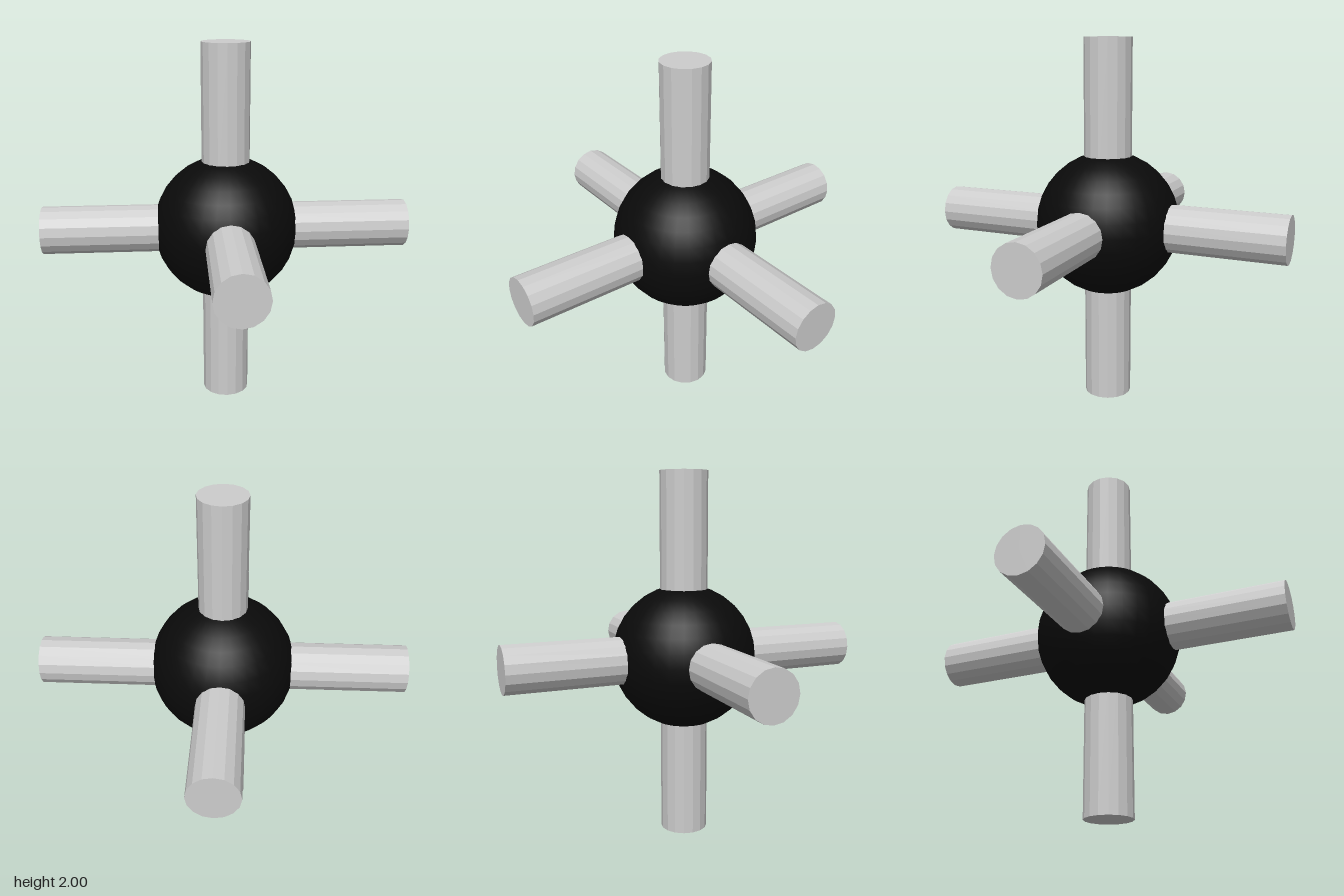
import * as THREE from 'three';

export function createModel() {
  const rodGrey = new THREE.MeshStandardMaterial({ color: 0xcccccc });
  rodGrey.name = 'rodGrey';
  rodGrey.flatShading = true;
  const hubBlack = new THREE.MeshStandardMaterial({ color: 0x0a0a0a });
  hubBlack.name = 'hubBlack';

  const model = new THREE.Group();
  model.name = 'sixArmedHub';

  // Central ball
  const hub = new THREE.Mesh(new THREE.SphereGeometry(0.395, 32, 16), hubBlack);
  hub.name = 'hub';
  hub.position.y = 1;
  model.add(hub);

  // Six arms, each rooted inside the ball and reaching one unit from its centre
  const inner = 0.25;
  const armGeometry = new THREE.CylinderGeometry(0.13, 0.13, 1 - inner, 16);
  armGeometry.translate(0, (1 + inner) / 2, 0);
  const arms = [
    ['topArm', 0, 0],
    ['bottomArm', Math.PI, 0],
    ['frontArm', Math.PI / 2, 0],
    ['backArm', -Math.PI / 2, 0],
    ['leftArm', 0, -Math.PI / 2],
    ['rightArm', 0, Math.PI / 2],
  ];
  for (const [name, rx, rz] of arms) {
    const arm = new THREE.Mesh(armGeometry, rodGrey);
    arm.name = name;
    arm.position.y = 1;
    arm.rotation.set(rx, 0, rz);
    model.add(arm);
  }
  return model;
}
